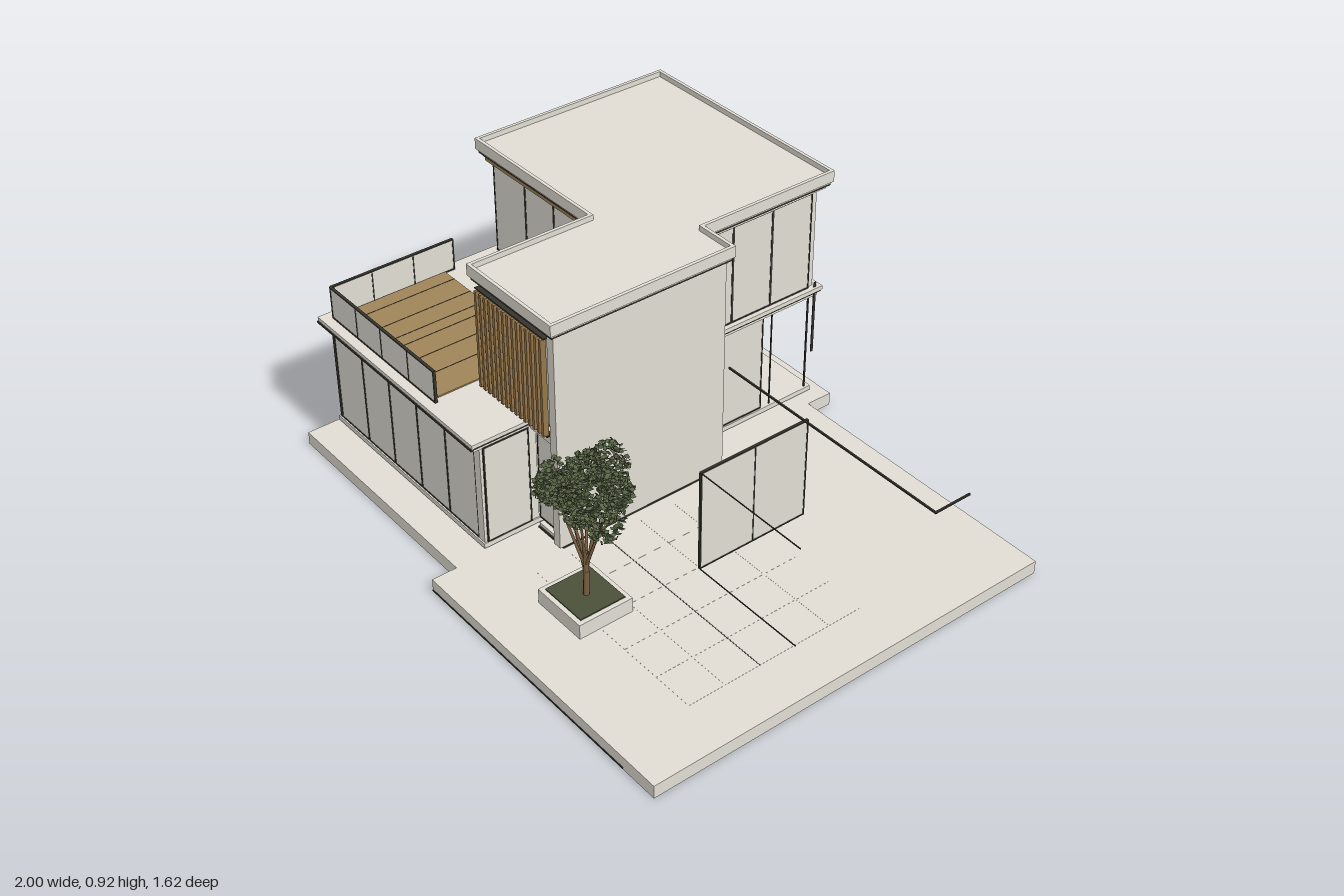
import * as THREE from 'three';
import { mergeGeometries } from 'three/addons/utils/BufferGeometryUtils.js';

const mat = (name, color, side = THREE.FrontSide) => {
  const m = new THREE.MeshStandardMaterial({ color, side });
  m.name = name;
  return m;
};

export function createModel() {
  const concrete = mat('concrete', 0xe1ddd4);
  const glass = mat('glass', 0xe0ddd3);
  const metal = mat('dark metal', 0x35342d);
  const wood = mat('deck wood', 0xa08459);
  const slat = mat('slat wood', 0x96764a);
  const bark = mat('bark', 0x7d6143);
  const leaf = mat('leaves', 0x5a6647, THREE.DoubleSide);
  const soil = mat('soil', 0x4a5038);

  const root = new THREE.Group();
  root.name = 'house';
  const add = (name, geo, m, parent = root) => {
    const mesh = new THREE.Mesh(geo, m);
    mesh.name = name;
    parent.add(mesh);
    return mesh;
  };
  // Box given by its lower and upper limits on each axis
  const boxGeo = (x0, x1, y0, y1, z0, z1) =>
    new THREE.BoxGeometry(x1 - x0, y1 - y0, z1 - z0).translate((x0 + x1) / 2, (y0 + y1) / 2, (z0 + z1) / 2);
  const box = (name, m, ...b) => add(name, boxGeo(...b), m);
  const boxes = (name, m, list) => add(name, mergeGeometries(list.map(b => boxGeo(...b))), m);

  // Flat slabs from right-angled plans listed as [x, -z], counter-clockwise
  const inset = (pts, d) => pts.map((p, i) => {
    const a = pts[(i + pts.length - 1) % pts.length], b = pts[(i + 1) % pts.length];
    const n = (s, e) => [-Math.sign(e[1] - s[1]), Math.sign(e[0] - s[0])];
    const n1 = n(a, p), n2 = n(p, b);
    return [p[0] + d * (n1[0] + n2[0]), p[1] + d * (n1[1] + n2[1])];
  });
  const slab = (name, m, pts, y0, y1, rim = 0) => {
    const v = p => p.map(q => new THREE.Vector2(...q));
    const s = new THREE.Shape(v(pts));
    if (rim) s.holes.push(new THREE.Path(v(inset(pts, rim))));
    const g = new THREE.ExtrudeGeometry(s, { depth: y1 - y0, bevelEnabled: false });
    return add(name, g.rotateX(-Math.PI / 2).translate(0, y0, 0), m);
  };

  // Window wall: pane set inside a thin frame with mullions; axis is the direction it runs along
  const windowWall = (name, axis, at, a0, a1, y0, y1, marks, t = 0.004) => {
    const e = 0.0025, f = 0.005, g = 0.0015;
    const part = (s0, s1, h0, h1, d) => axis === 'x'
      ? [s0, s1, h0, h1, at - d, at + d] : [at - d, at + d, h0, h1, s0, s1];
    box(name + 'Pane', glass, ...part(a0 + g, a1 - g, y0 + g, y1 - g, 0.0035));
    const bars = marks.map(s => part(s - t, s + t, y0, y1, f));
    bars.push(part(a0, a0 + 2 * e, y0, y1, f), part(a1 - 2 * e, a1, y0, y1, f));
    bars.push(part(a0, a1, y0, y0 + 0.005, f), part(a0, a1, y1 - 0.005, y1, f));
    boxes(name + 'Frame', metal, bars);
  };

  // Ground slab
  slab('groundSlab', concrete, [[-0.99, -0.72], [-0.1, -0.72], [-0.1, -0.81], [1, -0.81],
    [1, 0.71], [-0.06, 0.71], [-0.06, 0.81], [-0.99, 0.81]], 0, 0.048);
  box('slabShadowStrip', metal, -0.1, 0.86, 0.004, 0.009, 0.806, 0.812);
  const pavers = [];
  for (let i = 0; i < 5; i++) for (let j = 0; j < 5; j++) {
    const x = 0.07 + i * 0.15, z = -0.14 + j * 0.136;
    pavers.push([x + 0.002, x + 0.148, 0.046, 0.0485, z + 0.002, z + 0.134]);
  }
  boxes('pavers', concrete, pavers);
  box('pavingChannel', metal, 0.06, 0.82, 0.046, 0.0488, 0.267, 0.269);

  // Lower storey
  box('lowerPlinth', metal, -0.95, -0.13, 0.048, 0.058, -0.74, 0.58);
  box('lowerFloor', concrete, -0.975, -0.11, 0.058, 0.076, -0.76, 0.605);
  windowWall('frontLower', 'x', 0.595, -0.96, -0.145, 0.076, 0.447, [-0.79, -0.63, -0.47, -0.31]);
  windowWall('leftLower', 'z', -0.965, -0.76, 0.6, 0.076, 0.447,
    [1, 2, 3, 4, 5, 6, 7, 8].map(i => -0.76 + i * 1.36 / 9));
  windowWall('rightLower', 'z', -0.12, -0.54, -0.23, 0.076, 0.447, []);
  boxes('rightOpeningPosts', metal, [[-0.122, -0.118, 0.076, 0.447, -0.582, -0.578],
    [-0.122, -0.118, 0.076, 0.447, -0.743, -0.737]]);
  box('frontCornerPier', concrete, -0.145, -0.115, 0.076, 0.447, 0.39, 0.6);
  windowWall('cornerReturn', 'z', -0.114, 0.42, 0.59, 0.076, 0.447, []);
  const band = add('backLowerBand', new THREE.PlaneGeometry(0.86, 0.25), concrete);
  band.rotation.y = Math.PI;
  band.position.set(-0.54, 0.345, -0.762);
  box('backBandTrim', metal, -0.112, -0.109, 0.22, 0.5, -0.764, -0.754);

  // Middle slab and terrace
  const mid = [[-0.99, -0.635], [-0.1, -0.635], [-0.1, 0.785], [-0.99, 0.785]];
  slab('midSlabLower', concrete, inset(mid, 0.012), 0.445, 0.461);
  slab('midSlabShadowGap', metal, inset(mid, 0.003), 0.461, 0.468);
  box('midSlabDripEdge', metal, -0.99, -0.1, 0.461, 0.468, 0.63, 0.639);
  slab('midSlabUpper', concrete, mid, 0.468, 0.482);
  box('deck', wood, -0.955, -0.37, 0.48, 0.487, 0.16, 0.575);
  boxes('deckJoints', metal, [-0.896, -0.8, -0.72, -0.67, -0.58, -0.484].map(x =>
    [x - 0.001, x + 0.001, 0.48, 0.488, 0.16, 0.575]));
  windowWall('frontRail', 'x', 0.595, -0.955, -0.35, 0.482, 0.602, [-0.8, -0.655, -0.5], 0.002);
  windowWall('sideRail', 'z', -0.955, 0.12, 0.595, 0.482, 0.602, [0.28, 0.44], 0.002);

  // Upper storey
  box('upperWalls', concrete, -0.97, -0.125, 0.482, 0.855, -0.76, -0.07);
  windowWall('upperFront', 'x', -0.065, -0.96, -0.36, 0.484, 0.842, [-0.78, -0.62, -0.45]);
  windowWall('upperRight', 'z', -0.12, -0.735, -0.23, 0.484, 0.852, [-0.4, -0.565]);
  box('timberSoffit', wood, -0.965, -0.37, 0.842, 0.854, -0.07, -0.035);

  // Stair tower
  box('towerSideWall', concrete, 0.012, 0.044, 0.065, 0.86, -0.235, 0.425);
  box('towerCoreLower', concrete, -0.112, 0.014, 0.06, 0.48, -0.235, 0.375);
  box('towerCoreUpper', concrete, -0.355, 0.014, 0.478, 0.858, -0.235, 0.385);
  box('towerPlinth', concrete, -0.1, 0.03, 0.046, 0.066, -0.22, 0.4);
  box('towerPlinthGap', metal, -0.1, 0.034, 0.047, 0.054, -0.18, 0.405);
  windowWall('towerDoor', 'x', 0.385, -0.112, 0.012, 0.076, 0.447, []);
  box('towerLintel', concrete, -0.1, 0.014, 0.45, 0.482, 0.37, 0.42);
  windowWall('towerWindow', 'x', 0.39, -0.352, 0.012, 0.484, 0.855, [-0.16]);
  const slats = [];
  for (let i = 0; i < 15; i++) {
    const x = -0.33 + i * 0.0236;
    slats.push([x - 0.0055, x + 0.0055, 0.488, 0.842, 0.424, 0.444]);
  }
  boxes('timberScreen', slat, slats);
  boxes('screenRails', metal, [[-0.345, 0.01, 0.842, 0.846, 0.41, 0.435],
    [-0.345, 0.01, 0.484, 0.488, 0.41, 0.435]]);

  // Roof with parapet
  const roof = [[-0.996, 0.018], [-0.372, 0.018], [-0.372, -0.442], [0.057, -0.442],
    [0.057, 0.26], [-0.094, 0.26], [-0.094, 0.805], [-0.996, 0.805]];
  slab('roofSoffit', concrete, inset(roof, 0.018), 0.852, 0.864);
  slab('roofShadowGap', metal, inset(roof, 0.008), 0.864, 0.872);
  slab('roofDeck', concrete, inset(roof, 0.006), 0.872, 0.9);
  slab('parapet', concrete, roof, 0.879, 0.919, 0.012);

  // Courtyard screen and thin rails
  windowWall('courtyardScreen', 'z', 0.392, -0.28, 0.15, 0.07, 0.447, [-0.065], 0.002);
  boxes('courtyardRails', metal, [[0.392, 0.84, 0.445, 0.448, 0.148, 0.151], [0.392, 0.84, 0.07, 0.073, 0.148, 0.151],
    [0.05, 0.98, 0.461, 0.467, -0.253, -0.247], [0.975, 0.981, 0.461, 0.467, -0.39, -0.247]]);

  // Planter and tree
  const tree = new THREE.Group();
  tree.name = 'tree';
  tree.position.set(0.3, 0, 0.515);
  root.add(tree);
  const boxT = (name, m, ...b) => add(name, boxGeo(...b), m, tree);
  boxT('planter', concrete, -0.11, 0.1, 0.048, 0.102, -0.1, 0.1);
  boxT('planterSoil', soil, -0.094, 0.084, 0.1, 0.106, -0.084, 0.084);
  const limb = (pts, r0, r1) => pts.slice(1).map((p, i) => {
    const a = new THREE.Vector3(...pts[i]), b = new THREE.Vector3(...p), d = b.clone().sub(a);
    const r = k => r0 + (r1 - r0) * k / (pts.length - 1);
    const g = new THREE.CylinderGeometry(r(i + 1), r(i), d.length(), 6);
    g.applyQuaternion(new THREE.Quaternion().setFromUnitVectors(new THREE.Vector3(0, 1, 0), d.normalize()));
    return g.translate(...a.add(b).multiplyScalar(0.5).toArray());
  });
  // Leaf clumps: two low at the sides, pairs rising to front and back
  const clumps = [[-0.088, 0.455, 0, 0.068], [0.095, 0.455, 0, 0.068], [-0.01, 0.575, 0.075, 0.072], [0.01, 0.575, -0.075, 0.072],
    [-0.065, 0.51, 0.065, 0.058], [0.065, 0.51, 0.065, 0.058], [-0.065, 0.51, -0.065, 0.058], [0.065, 0.51, -0.065, 0.058]];
  const limbs = limb([[0, 0.1, 0], [0.004, 0.2, 0], [0, 0.27, 0]], 0.011, 0.008);
  clumps.forEach(([x, y, z], i) => {
    const s = 0.18 + (i % 3) * 0.03;
    limbs.push(...limb([[0, s, 0], [x * 0.6, s + (y - s) * 0.6, z * 0.6], [x, y, z]], 0.006, 0.002));
  });
  add('trunkAndBranches', mergeGeometries(limbs), bark, tree);

  // Small leaves scattered through each clump
  let seed = 7;
  const rnd = () => (seed = (seed * 16807) % 2147483647) / 2147483647;
  const leaves = [];
  for (const [x, y, z, r] of clumps) for (let i = 0; i < 280; i++) {
    const u = rnd() * 2 - 1, a = rnd() * Math.PI * 2, q = r * Math.cbrt(0.1 + 0.9 * rnd()), h = Math.sqrt(1 - u * u);
    leaves.push(new THREE.CircleGeometry(0.011, 4).scale(1, 0.7, 1)
      .rotateX(rnd() * 6.28).rotateY(rnd() * 6.28)
      .translate(x + q * h * Math.cos(a), y + q * u, z + q * h * Math.sin(a)));
  }
  add('foliage', mergeGeometries(leaves), leaf, tree);
  return root;
}
